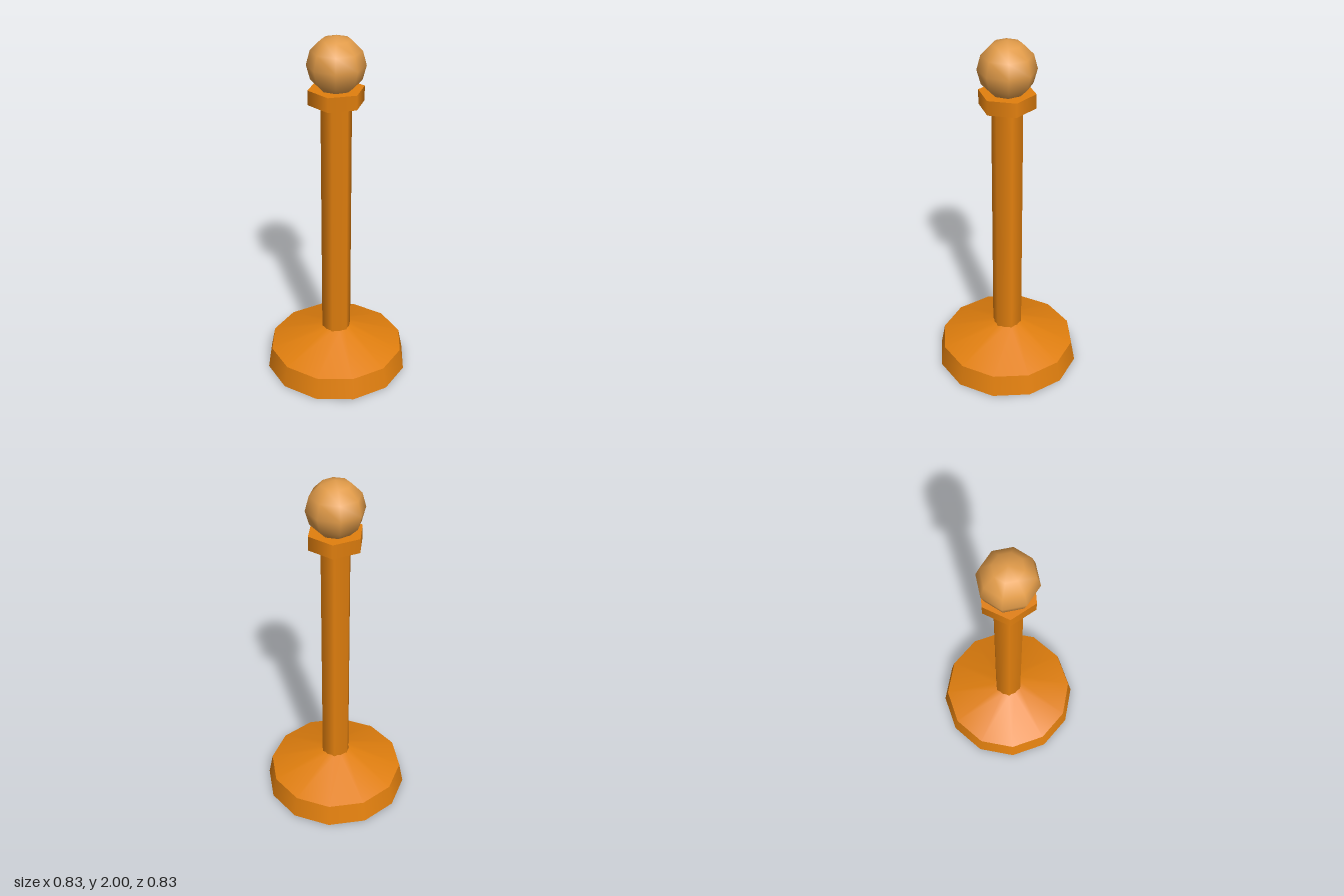
import * as THREE from 'three';

export function createModel() {
  const model = new THREE.Group();
  model.name = 'post';

  const orange = new THREE.MeshStandardMaterial({ color: 0xe17f0e });
  orange.name = 'orange';
  const paleOrange = new THREE.MeshStandardMaterial({ color: 0xe19b49 });
  paleOrange.name = 'pale orange';

  const add = (name, geometry, material, y) => {
    const mesh = new THREE.Mesh(geometry, material);
    mesh.name = name;
    mesh.position.y = y;
    model.add(mesh);
  };
  // Tapered prism standing between two heights
  const prism = (name, rTop, rBottom, y0, y1, sides, open = false) =>
    add(name, new THREE.CylinderGeometry(rTop, rBottom, y1 - y0, sides, 1, open), orange, (y0 + y1) / 2);

  // Twelve-sided foot with a sloping cover
  prism('baseRim', 0.39, 0.414, 0, 0.125, 12);
  prism('baseSlope', 0.08, 0.39, 0.125, 0.24, 12, true);

  // Six-sided pole and collar
  prism('pole', 0.085, 0.085, 0.13, 1.64, 6);
  prism('collar', 0.153, 0.153, 1.64, 1.72, 6);

  // Ball on top
  add('ball', new THREE.SphereGeometry(0.156, 8, 6), paleOrange, 1.844);

  return model;
}
